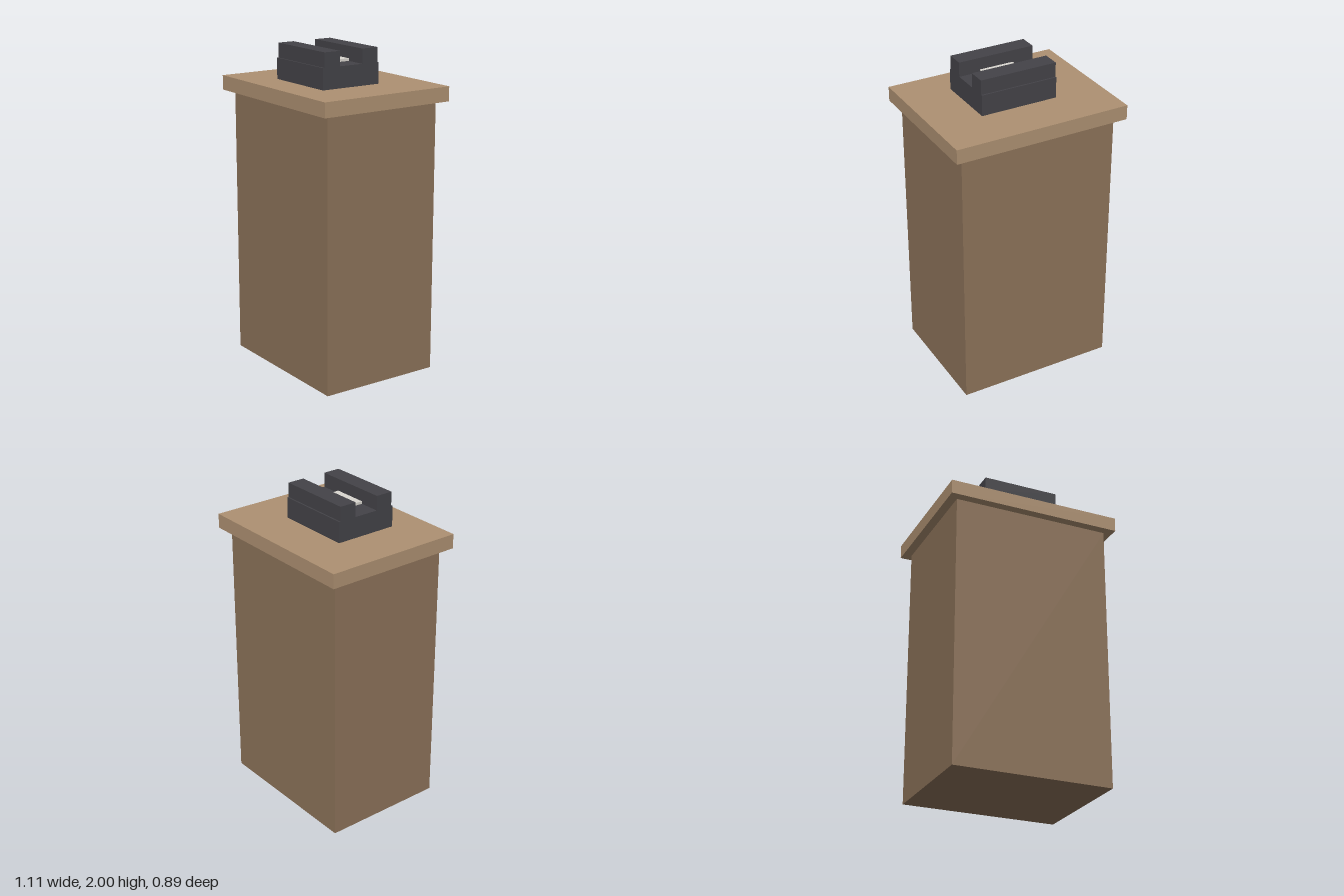
import * as THREE from 'three';

const material = (color) => new THREE.MeshStandardMaterial({ color });

// Box given by its extents along each axis
function block(name, mat, [x0, x1], [y0, y1], [z0, z1]) {
  const mesh = new THREE.Mesh(new THREE.BoxGeometry(x1 - x0, y1 - y0, z1 - z0), mat);
  mesh.position.set((x0 + x1) / 2, (y0 + y1) / 2, (z0 + z1) / 2);
  mesh.name = name;
  return mesh;
}

export function createModel() {
  const model = new THREE.Group();
  model.name = 'pedestal';
  const dark = material(0x444348);

  // Wooden pedestal with an overhanging top
  model.add(
    block('pedestalBody', material(0x8d735a), [-0.5, 0.5], [0, 1.69], [-0.39, 0.39]),
    block('pedestalTop', material(0xae9172), [-0.555, 0.555], [1.69, 1.78], [-0.445, 0.445]),
  );

  // Dark holder: base, two rails and a pale plate in the channel
  const holder = new THREE.Group();
  holder.name = 'holder';
  holder.add(block('holderBase', dark, [-0.245, 0.245], [1.78, 1.91], [-0.157, 0.243]));
  for (const [name, z] of [['backRail', -0.147], ['frontRail', 0.122]]) {
    holder.add(block(name, dark, [-0.245, 0.245], [1.91, 2], [z, z + 0.11]));
  }
  holder.add(block('palePlate', material(0xdad7d0), [-0.11, 0.11], [1.91, 1.926], [-0.037, 0.122]));
  model.add(holder);

  return model;
}
